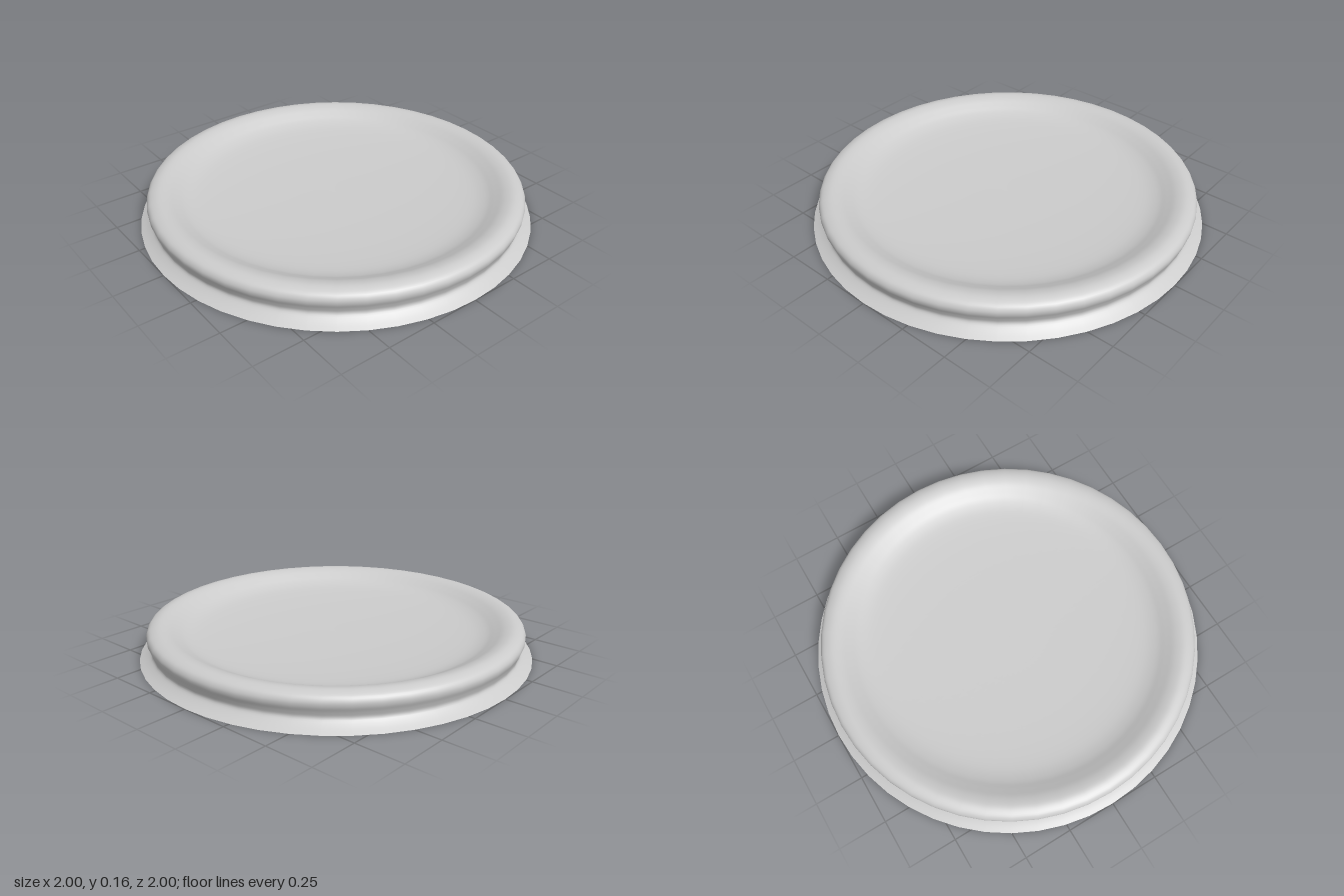
import * as THREE from 'three';

const SEGMENTS = 48;

export function createModel() {
  const group = new THREE.Group();
  group.name = 'shallowDish';
  const material = new THREE.MeshStandardMaterial({ color: 0xcccccc });

  // Flared foot, waist, rounded rim and shallow concave top, as one smooth profile
  const curve = new THREE.SplineCurve([
    [1, 0], [0.965, 0.022], [0.94, 0.047], [0.945, 0.075], [0.957, 0.105],
    [0.957, 0.13], [0.94, 0.152], [0.9, 0.164], [0.855, 0.156], [0.81, 0.134],
    [0.76, 0.11], [0.68, 0.093], [0.5, 0.081], [0.25, 0.074], [0, 0.072],
  ].map(([r, y]) => new THREE.Vector2(r, y)));
  const profile = curve.getPoints(56);
  profile.forEach((p) => { p.x = Math.max(p.x, 0); p.y = Math.max(p.y, 0); });
  const body = new THREE.Mesh(new THREE.LatheGeometry(profile, SEGMENTS), material);
  body.name = 'dishBody';
  group.add(body);

  // Flat underside
  const base = new THREE.Mesh(new THREE.CircleGeometry(1, SEGMENTS), material);
  base.name = 'underside';
  base.rotation.x = Math.PI / 2;
  group.add(base);

  return group;
}
